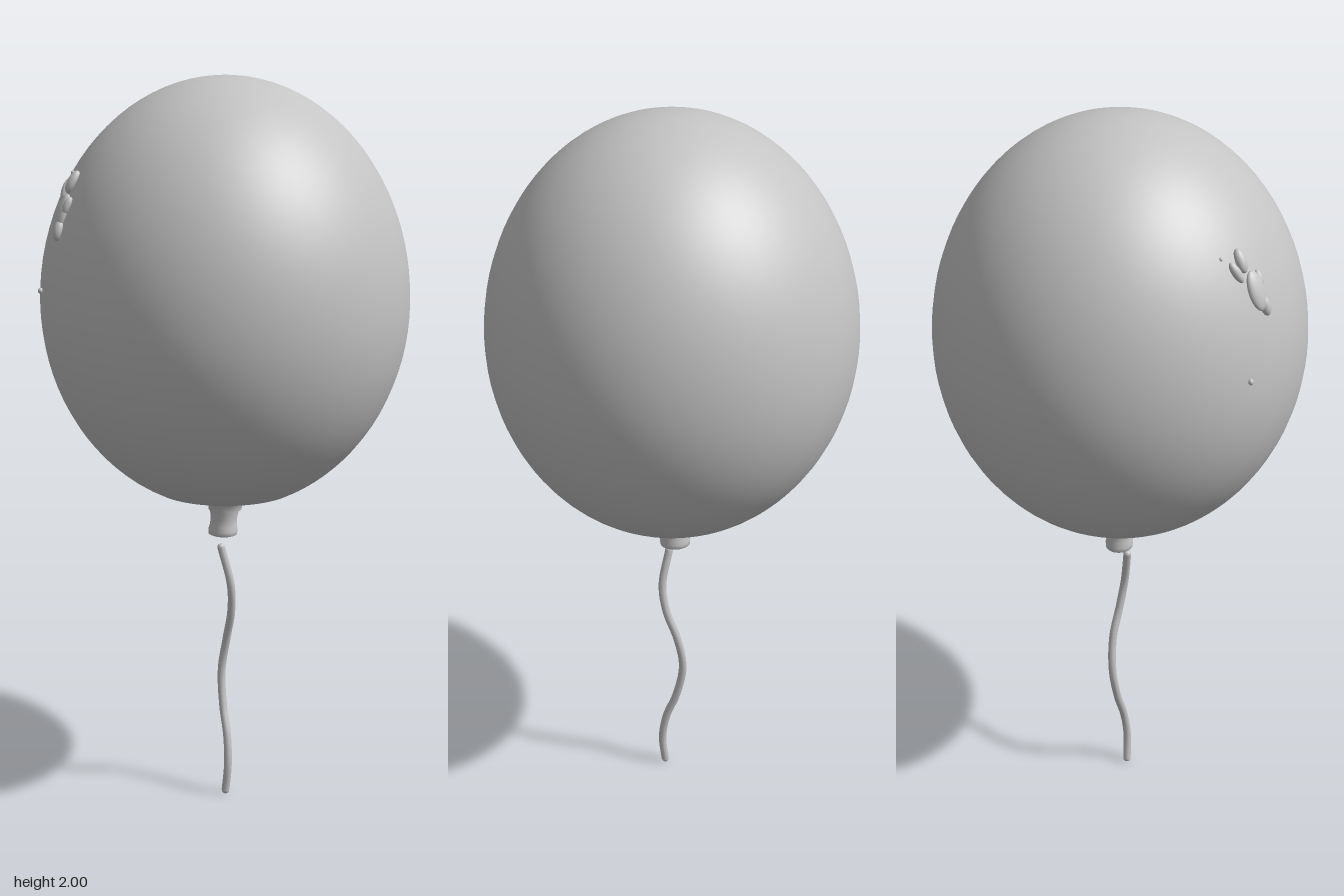
import * as THREE from 'three';

const MID = 1.41, RADIUS = 0.49, UP = 0.59, DOWN = 0.56;

export function createModel() {
  const group = new THREE.Group();
  const grey = new THREE.MeshStandardMaterial({ color: 0xc4c4c4 });
  grey.name = 'balloon grey';

  const add = (name, geometry) => {
    const mesh = new THREE.Mesh(geometry, grey);
    mesh.name = name;
    group.add(mesh);
    return mesh;
  };

  // Balloon skin: an egg-shaped profile drawn in at the bottom
  const profile = [[0.045, 0.83], [0.047, 0.85], [0.065, 0.868], [0.11, 0.882]]
    .map(([r, y]) => new THREE.Vector2(r, y));
  const start = -1.16;
  for (let i = 0; i <= 40; i++) {
    const a = start + (Math.PI / 2 - start) * i / 40;
    const y = MID + Math.sin(a) * (a < 0 ? DOWN : UP);
    profile.push(new THREE.Vector2(i === 40 ? 0 : Math.cos(a) * RADIUS, y));
  }
  add('balloon', new THREE.LatheGeometry(profile, 64));

  // Neck: a short tube with a rolled lip, bent slightly to one side
  const neckProfile = [[0, 0.765], [0.025, 0.763], [0.036, 0.756], [0.041, 0.758],
    [0.042, 0.77], [0.038, 0.785], [0.037, 0.805], [0.041, 0.83], [0.046, 0.852]]
    .map(([r, y]) => new THREE.Vector2(r, y));
  const neck = new THREE.LatheGeometry(neckProfile, 32);
  const p = neck.attributes.position;
  for (let i = 0; i < p.count; i++) {
    const drop = 0.852 - p.getY(i);
    p.setX(i, p.getX(i) - 0.1 * drop);
    p.setZ(i, p.getZ(i) * (1 - 1.2 * drop));
  }
  add('neck', neck);

  // String: a wavy tube with round ends, hanging just clear of the neck
  const path = [[0.003, 0.725, 0.02], [0.026, 0.62, 0.007], [0.018, 0.54, -0.005],
    [-0.01, 0.45, -0.018], [-0.027, 0.35, -0.016], [-0.012, 0.25, -0.005],
    [0.014, 0.17, 0.008], [0.024, 0.09, 0.016], [0.016, 0.011, 0.017]]
    .map(c => new THREE.Vector3(...c));
  add('string', new THREE.TubeGeometry(new THREE.CatmullRomCurve3(path), 80, 0.011, 12));
  for (const end of [path[0], path[path.length - 1]]) {
    add('stringEnd', new THREE.SphereGeometry(0.011, 12, 8)).position.copy(end);
  }

  // Raised highlight: flattened blobs lying on the skin [x, y, half width, half height, turn]
  const blobs = [
    [-0.213, 1.665, 0.027, 0.052, 0.05], [-0.205, 1.625, 0.014, 0.028, 0.1],
    [-0.24, 1.72, 0.012, 0.03, 0.35], [-0.213, 1.74, 0.015, 0.032, 0],
    [-0.192, 1.685, 0.011, 0.026, -0.1], [-0.253, 1.757, 0.004, 0.005, 0],
    [-0.29, 1.455, 0.007, 0.008, 0],
  ];
  for (const [x, y, w, h, turn] of blobs) {
    const dy = y - MID;
    const r = RADIUS * Math.sqrt(1 - (dy / UP) ** 2);
    const z = Math.sqrt(r * r - x * x);
    const normal = new THREE.Vector3(x / RADIUS ** 2, dy / UP ** 2, z / RADIUS ** 2).normalize();
    const blob = add('highlight', new THREE.SphereGeometry(1, 20, 14));
    blob.position.set(x, y, z).addScaledVector(normal, 0.004);
    blob.lookAt(blob.position.clone().add(normal));
    blob.rotateZ(turn);
    blob.scale.set(w, h, Math.min(w, 0.014));
  }

  return group;
}
